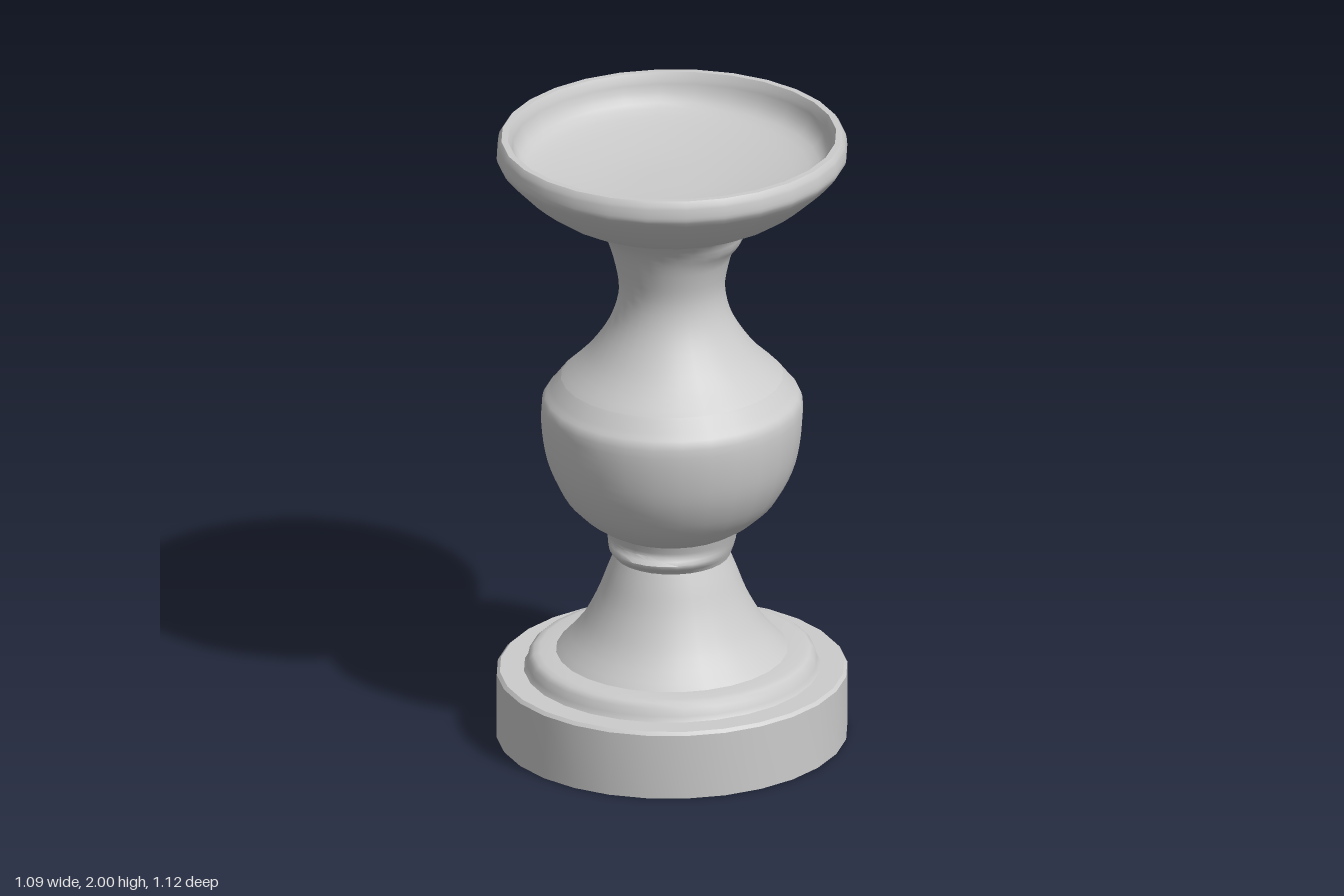
import * as THREE from 'three';
import { mergeVertices, toCreasedNormals } from 'three/addons/utils/BufferGeometryUtils.js';

const SEGMENTS = 28;
const material = new THREE.MeshStandardMaterial({ color: 0xcccccc, side: THREE.DoubleSide });

// Smooth bump in height, 1 at centre and 0 beyond the half width
function bump(y, centre, half) {
  const t = Math.min(1, Math.abs(y - centre) / half);
  return 0.5 + 0.5 * Math.cos(Math.PI * t);
}

// Turned part: revolve the profile, widen it slightly in z, and apply an optional radial rule
function turned(name, profile, crease = 0.7, rule = null) {
  let geo = new THREE.LatheGeometry(profile.map(([r, y]) => new THREE.Vector2(r, y)), SEGMENTS);
  geo.deleteAttribute('uv');
  geo.deleteAttribute('normal');
  geo = mergeVertices(geo, 1e-4);
  const p = geo.attributes.position;
  for (let i = 0; i < p.count; i++) {
    const x = p.getX(i), y = p.getY(i), z = p.getZ(i);
    const k = rule ? rule(y, Math.atan2(x, z)) : 1;
    p.setXYZ(i, x * k, y, z * k * 1.025);
  }
  const mesh = new THREE.Mesh(toCreasedNormals(geo, crease), material);
  mesh.name = name;
  return mesh;
}

// Smooth curve through profile points
function smooth(points, count) {
  const curve = new THREE.SplineCurve(points.map(([r, y]) => new THREE.Vector2(r, y)));
  return curve.getPoints(count).map((v) => [v.x, v.y]);
}

export function createModel() {
  const group = new THREE.Group();
  group.name = 'pedestalCandleHolder';

  // Base drum, open underneath, closed by its flat top
  group.add(turned('base', [[0.545, 0], [0.545, 0.21], [0.535, 0.22], [0, 0.22]]));

  // Small stepped moulding on the base
  group.add(turned('baseMoulding', [
    [0.46, 0.22], [0.45, 0.235], [0.445, 0.26], [0.43, 0.273], [0.41, 0.278], [0.33, 0.28],
  ]));

  // Flared foot rising to the lower neck
  group.add(turned('foot', smooth([
    [0.36, 0.28], [0.29, 0.36], [0.235, 0.46], [0.2, 0.55], [0.18, 0.6],
  ], 12)));

  // Worn collar, fuller at front and back than at the sides
  group.add(turned('collar', smooth([
    [0.18, 0.6], [0.19, 0.63], [0.2, 0.665], [0.21, 0.7],
  ], 9), 0.9, (y, a) => 1 + 0.16 * bump(y, 0.635, 0.035) * Math.cos(a) ** 2));

  // Rounded bulb
  group.add(turned('bulb', smooth([
    [0.21, 0.7], [0.265, 0.735], [0.33, 0.8], [0.38, 0.9], [0.403, 1.01], [0.405, 1.11], [0.38, 1.15], [0.345, 1.195],
  ], 24)));

  // Upper neck with a slight lump on its left side
  group.add(turned('neck', smooth([
    [0.345, 1.195], [0.26, 1.28], [0.19, 1.39], [0.165, 1.49], [0.18, 1.59], [0.208, 1.67], [0.25, 1.725],
  ], 22), 0.9, (y, a) => 1 + 0.09 * bump(y, 1.66, 0.05) * Math.max(0, Math.sin(a)) ** 4));

  // Shallow dish: outer bowl, rim and hollow inside
  group.add(turned('dish', [
    ...smooth([[0.25, 1.725], [0.37, 1.775], [0.47, 1.85], [0.535, 1.92], [0.545, 1.95], [0.54, 1.985]], 14),
    [0.53, 2], [0.51, 2],
    ...smooth([[0.5, 1.98], [0.485, 1.93], [0.44, 1.893], [0.3, 1.865], [0.15, 1.85], [0, 1.848]], 14),
  ], 0.8));

  return group;
}
